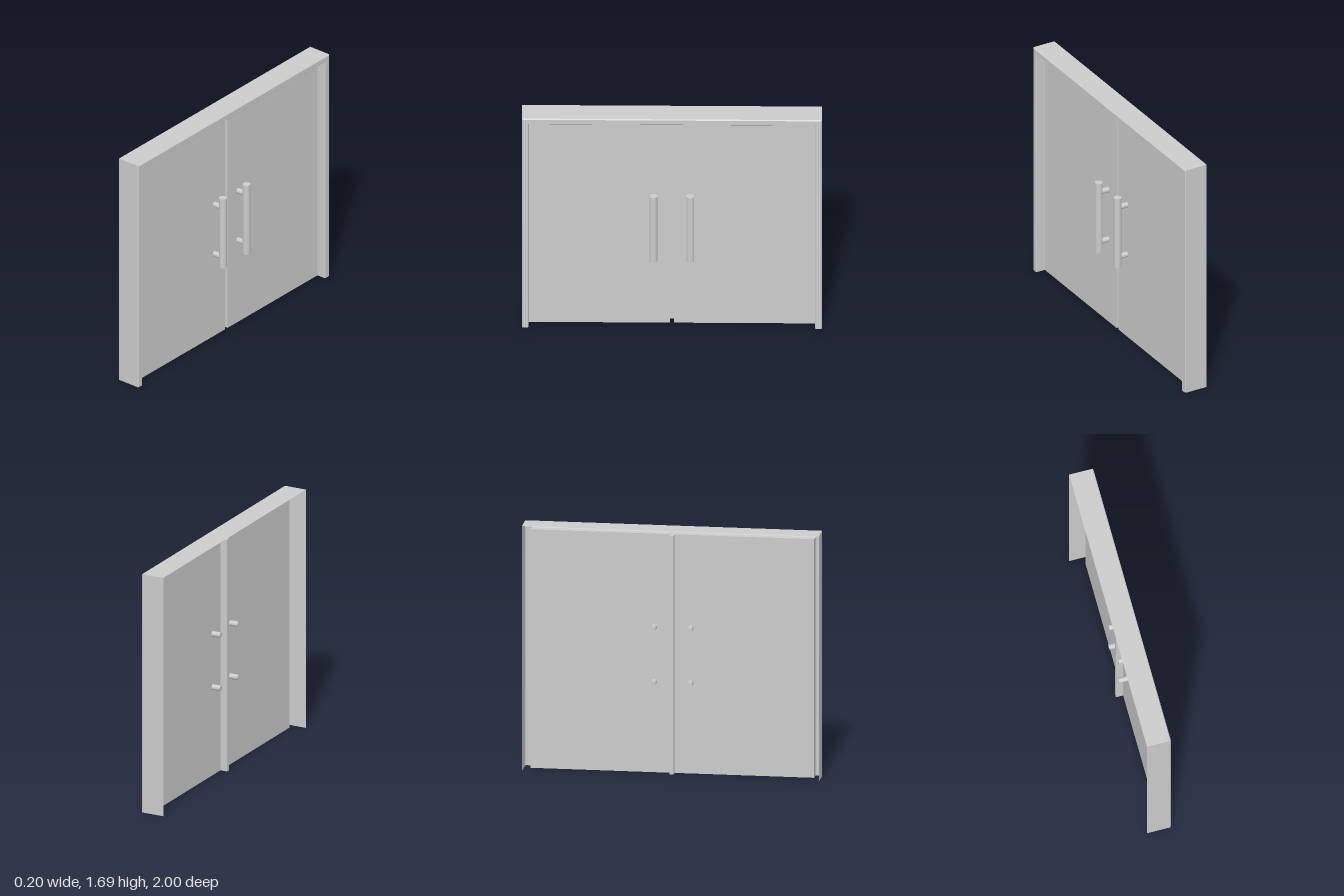
import * as THREE from 'three';

const H = 1.687; // overall height
const LIP = 0.045; // width of the frame face
const GAP = 0.014; // half width of the centre channel
const DOOR_TOP = H - LIP;

const sheet = new THREE.MeshStandardMaterial({ color: 0xcccccc, side: THREE.DoubleSide });
const solid = new THREE.MeshStandardMaterial({ color: 0xcccccc });

function part(parent, name, geometry, material, x = 0, y = 0, z = 0) {
  const mesh = new THREE.Mesh(geometry, material);
  mesh.name = name;
  mesh.position.set(x, y, z);
  parent.add(mesh);
  return mesh;
}

// Flat-shaded strip of quads across a list of equal-length point rows
function loft(rows) {
  const pos = [];
  for (let i = 0; i < rows.length - 1; i++) {
    for (let j = 0; j < rows[i].length - 1; j++) {
      const a = rows[i][j], b = rows[i][j + 1], c = rows[i + 1][j + 1], d = rows[i + 1][j];
      pos.push(...a, ...b, ...c, ...a, ...c, ...d);
    }
  }
  const g = new THREE.BufferGeometry();
  g.setAttribute('position', new THREE.Float32BufferAttribute(pos, 3));
  g.computeVertexNormals();
  return g;
}

export function createModel() {
  const model = new THREE.Group();
  model.name = 'doubleDoor';

  // Frame: folded profile [x, inset] mitred round both jambs and the header
  const profile = [[-0.1, 0], [0.06, 0], [0.066, 0.006], [0.066, LIP - 0.006], [0.06, LIP], [0, LIP]];
  const frameRows = profile.map(([x, o]) => [
    [x, 0, 1 - o], [x, H - o, 1 - o], [x, H - o, -1 + o], [x, 0, -1 + o],
  ]);
  part(model, 'doorFrame', loft(frameRows), sheet);

  // Centre channel, recessed between the leaves
  const channel = [[0, GAP], [-0.05, GAP], [-0.05, -GAP], [0, -GAP]];
  part(model, 'centreChannel', loft(channel.map(([x, z]) => [[x, 0, z], [x, DOOR_TOP, z]])), sheet);
  const cap = new THREE.PlaneGeometry(0.05, GAP * 2).rotateX(Math.PI / 2);
  part(model, 'channelCap', cap, sheet, -0.025, DOOR_TOP, 0);

  // Leaves and pull handles, one of each per side
  const leafWidth = 1 - LIP - GAP;
  const leafGeo = new THREE.PlaneGeometry(leafWidth, DOOR_TOP).rotateY(Math.PI / 2);
  const barGeo = new THREE.CylinderGeometry(0.026, 0.026, 0.525, 32);
  const postGeo = new THREE.CylinderGeometry(0.019, 0.019, 0.132, 24).rotateZ(Math.PI / 2);
  for (const s of [1, -1]) {
    const side = s > 0 ? 'Near' : 'Far';
    part(model, 'doorLeaf' + side, leafGeo, sheet, 0, DOOR_TOP / 2, s * (GAP + leafWidth / 2));

    const handle = new THREE.Group();
    handle.name = 'handle' + side;
    handle.position.set(0, 0.8125, s * 0.123);
    part(handle, 'handleBar', barGeo, solid, 0.073);
    // Posts pass through the leaf to the back
    for (const t of [1, -1]) part(handle, 'handlePost', postGeo, solid, 0.004, t * 0.188);
    model.add(handle);
  }
  return model;
}
